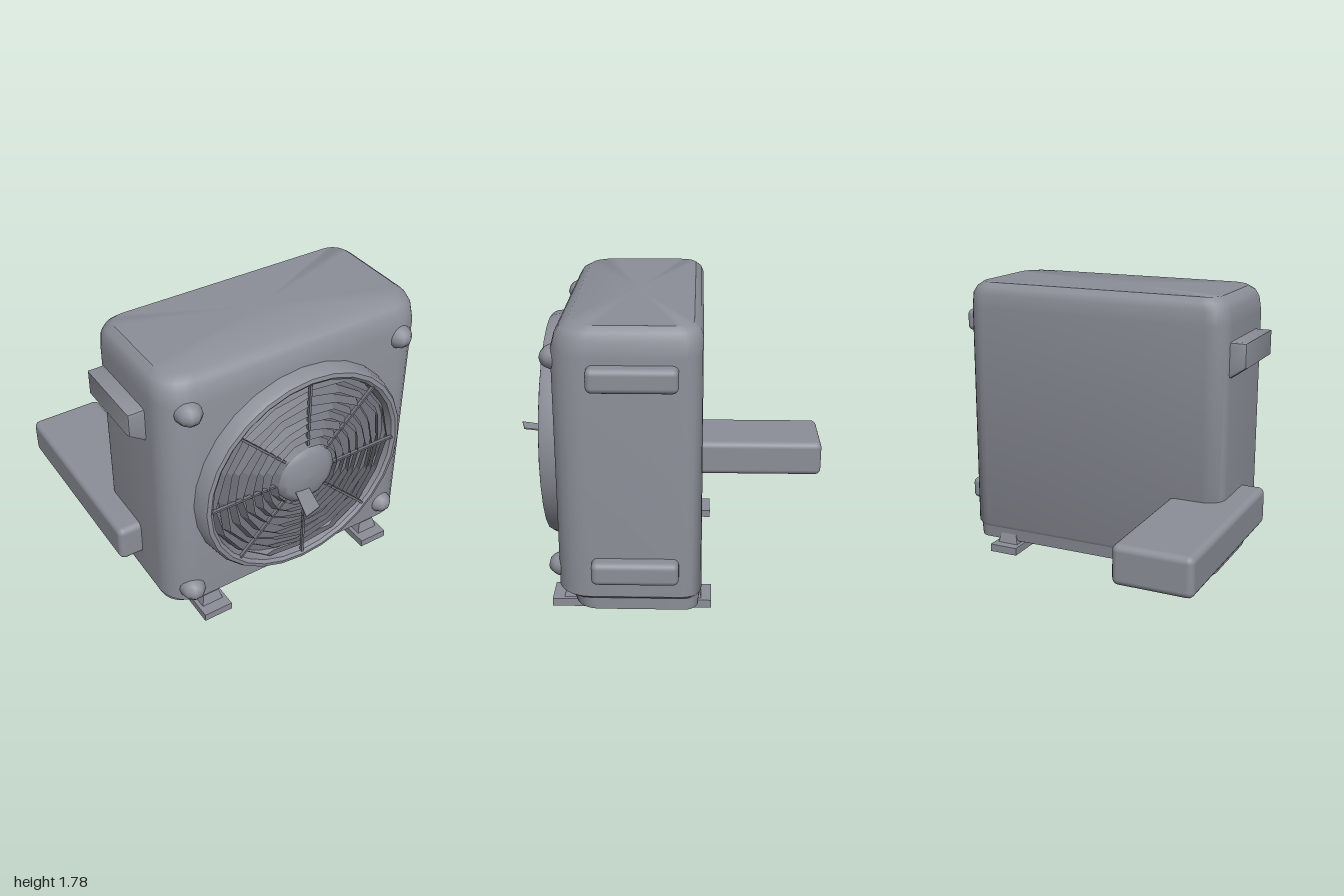
import * as THREE from 'three';
import { toCreasedNormals } from 'three/addons/utils/BufferGeometryUtils.js';
import { RoundedBoxGeometry } from 'three/addons/geometries/RoundedBoxGeometry.js';

const grey = new THREE.MeshStandardMaterial({ color: 0x8c8f98 });
grey.name = 'casing grey';
const dark = new THREE.MeshStandardMaterial({ color: 0x74777f, side: THREE.DoubleSide });
dark.name = 'grille grey';

// Plan outline with a larger radius at the front corners, counter-clockwise from above
function outline([y, x0, x1, z0, z1, rBack, rFront]) {
  const pts = [];
  const corners = [
    [x1 - rFront, z1 - rFront, rFront, -90], [x1 - rBack, z0 + rBack, rBack, 0],
    [x0 + rBack, z0 + rBack, rBack, 90], [x0 + rFront, z1 - rFront, rFront, 180],
  ];
  for (const [cx, cz, r, start] of corners) {
    for (let i = 0; i <= 6; i++) {
      const a = THREE.MathUtils.degToRad(start + i * 15);
      pts.push([cx + r * Math.cos(a), y, cz - r * Math.sin(a)]);
    }
  }
  return pts;
}

// Closed solid through horizontal sections
function loft(sections) {
  const pos = [], rows = sections.map(outline), n = rows[0].length;
  const tri = (a, b, c) => pos.push(...a, ...b, ...c);
  const mid = ([y, x0, x1, z0, z1]) => [(x0 + x1) / 2, y, (z0 + z1) / 2];
  const low = mid(sections[0]), high = mid(sections[sections.length - 1]);
  for (let j = 0; j < n; j++) {
    const k = (j + 1) % n;
    for (let i = 0; i < rows.length - 1; i++) {
      tri(rows[i][j], rows[i][k], rows[i + 1][k]);
      tri(rows[i][j], rows[i + 1][k], rows[i + 1][j]);
    }
    tri(low, rows[0][k], rows[0][j]);
    tri(high, rows[rows.length - 1][j], rows[rows.length - 1][k]);
  }
  const g = new THREE.BufferGeometry();
  g.setAttribute('position', new THREE.Float32BufferAttribute(pos, 3));
  return toCreasedNormals(g, 0.6);
}

// Ring-shaped surface around the fan axis, from [radius, depth] points
function turned(points, sides) {
  const g = new THREE.LatheGeometry(points.map(([r, z]) => new THREE.Vector2(r, z)), sides);
  return g.rotateX(Math.PI / 2);
}

export function createModel() {
  const model = new THREE.Group();
  const add = (name, geometry, material = grey, x = 0, y = 0, z = 0, parent = model) => {
    const m = new THREE.Mesh(geometry, material);
    m.name = name;
    m.position.set(x, y, z);
    parent.add(m);
    return m;
  };
  const block = (name, x0, x1, y0, y1, z0, z1, r) =>
    add(name, new RoundedBoxGeometry(x1 - x0, y1 - y0, z1 - z0, 3, r), grey,
      (x0 + x1) / 2, (y0 + y1) / 2, (z0 + z1) / 2);

  // Casing, with the lid rolled over at the top
  add('casing', loft([
    [0.15, -0.82, 0.88, -0.16, 0.65, 0.1, 0.18],
    [0.17, -0.84, 0.9, -0.17, 0.67, 0.12, 0.19],
    [1.62, -0.84, 0.9, -0.17, 0.67, 0.12, 0.19],
    [1.71, -0.83, 0.89, -0.17, 0.645, 0.12, 0.18],
    [1.75, -0.81, 0.87, -0.155, 0.62, 0.12, 0.17],
    [1.78, -0.77, 0.83, -0.12, 0.57, 0.1, 0.15],
  ]));
  add('base pan', loft([
    [0.07, -0.8, 0.87, -0.15, 0.57, 0.08, 0.14],
    [0.16, -0.8, 0.87, -0.16, 0.6, 0.08, 0.14],
  ]));

  // Fan opening
  const fan = new THREE.Group();
  fan.name = 'fan';
  fan.position.set(0.02, 0.915, 0);
  model.add(fan);
  add('fan collar', toCreasedNormals(turned([
    [0.71, 0.64], [0.695, 0.74], [0.68, 0.765], [0.655, 0.77], [0.635, 0.755], [0.62, 0.675],
  ], 28), 0.7), grey, 0, 0, 0, fan);
  add('fan backing', new THREE.CircleGeometry(0.64, 28), dark, 0, 0, 0.68, fan);

  // Concentric slats, tilted inwards and slightly uneven
  for (let i = 0; i < 8; i++) {
    const r = 0.21 + i * 0.056, z = 0.778 - i * 0.004;
    const slat = turned([[r + 0.026, z - 0.055], [r, z]], 16).toNonIndexed();
    const p = slat.attributes.position;
    for (let v = 0; v < p.count; v++) {
      const a = Math.round(Math.atan2(p.getY(v), p.getX(v)) * 8 / Math.PI + 16) % 16;
      const s = 1 + 0.018 * Math.sin(a * 2.4 + i * 1.9);
      p.setXY(v, p.getX(v) * s, p.getY(v) * s);
    }
    slat.computeVertexNormals();
    add('grille slat', slat, dark, 0, 0, 0, fan);
  }
  for (let i = 0; i < 8; i++) {
    const spoke = new THREE.BoxGeometry(0.46, 0.014, 0.02);
    spoke.translate(0.41, 0, 0.755).rotateZ(i * Math.PI / 4);
    add('grille spoke', spoke, dark, 0, 0, 0, fan);
  }
  add('fan hub', turned([[0.2, 0.7], [0.195, 0.775], [0.15, 0.795], [0.08, 0.81], [0, 0.815]], 12),
    grey, -0.01, 0.01, 0, fan);

  // Loose blade tab sticking out below the hub
  const tab = new THREE.Shape([[-0.07, -0.77], [0.02, -0.77], [-0.03, -0.97], [-0.145, -1]]
    .map(([x, y]) => new THREE.Vector2(x, y)));
  const tabGeometry = new THREE.ExtrudeGeometry(tab, { depth: 0.008, bevelEnabled: false });
  add('blade tab', tabGeometry.rotateX(-Math.PI / 2), grey, 0, 0.836, 0);

  // Corner bosses on the front
  for (const [x, y] of [[-0.69, 1.58], [0.72, 1.57], [-0.7, 0.26], [0.71, 0.28]]) {
    const boss = new THREE.SphereGeometry(1, 10, 8).scale(0.08, 0.075, 0.1);
    add('corner boss', boss, grey, x, y, 0.635);
  }

  // Grips on the left side
  for (const y of [0.28, 1.44]) block('side grip', 0.86, 0.98, y, y + 0.14, -0.04, 0.46, 0.035);

  // Valve hood on the right side, sloped underneath
  const hood = new THREE.Shape([[-0.8, 1.3], [-0.8, 1.5], [-0.92, 1.5], [-0.92, 1.38], [-0.85, 1.33]]
    .map(([x, y]) => new THREE.Vector2(x, y)));
  add('valve hood', toCreasedNormals(new THREE.ExtrudeGeometry(hood, {
    depth: 0.46, bevelSize: 0.02, bevelThickness: 0.02, bevelSegments: 2,
  }), 0.7), grey, 0, 0, -0.05);

  // Pipe duct running backwards past the corner
  block('pipe duct', -0.985, -0.505, 0.31, 0.55, -1, -0.1, 0.04);
  block('pipe duct side', -0.985, -0.72, 0.31, 0.55, -0.5, 0.28, 0.04);

  // Feet with brackets at both ends
  for (const x of [-0.565, 0.635]) {
    add('foot', new THREE.BoxGeometry(0.19, 0.05, 0.95), grey, x, 0.025, 0.245);
    for (const z of [-0.1, 0.58]) {
      const bracket = new THREE.CylinderGeometry(0.075, 0.1, 0.07, 4, 1).rotateY(Math.PI / 4);
      add('foot bracket', toCreasedNormals(bracket, 0.5), grey, x, 0.085, z);
    }
  }
  return model;
}
